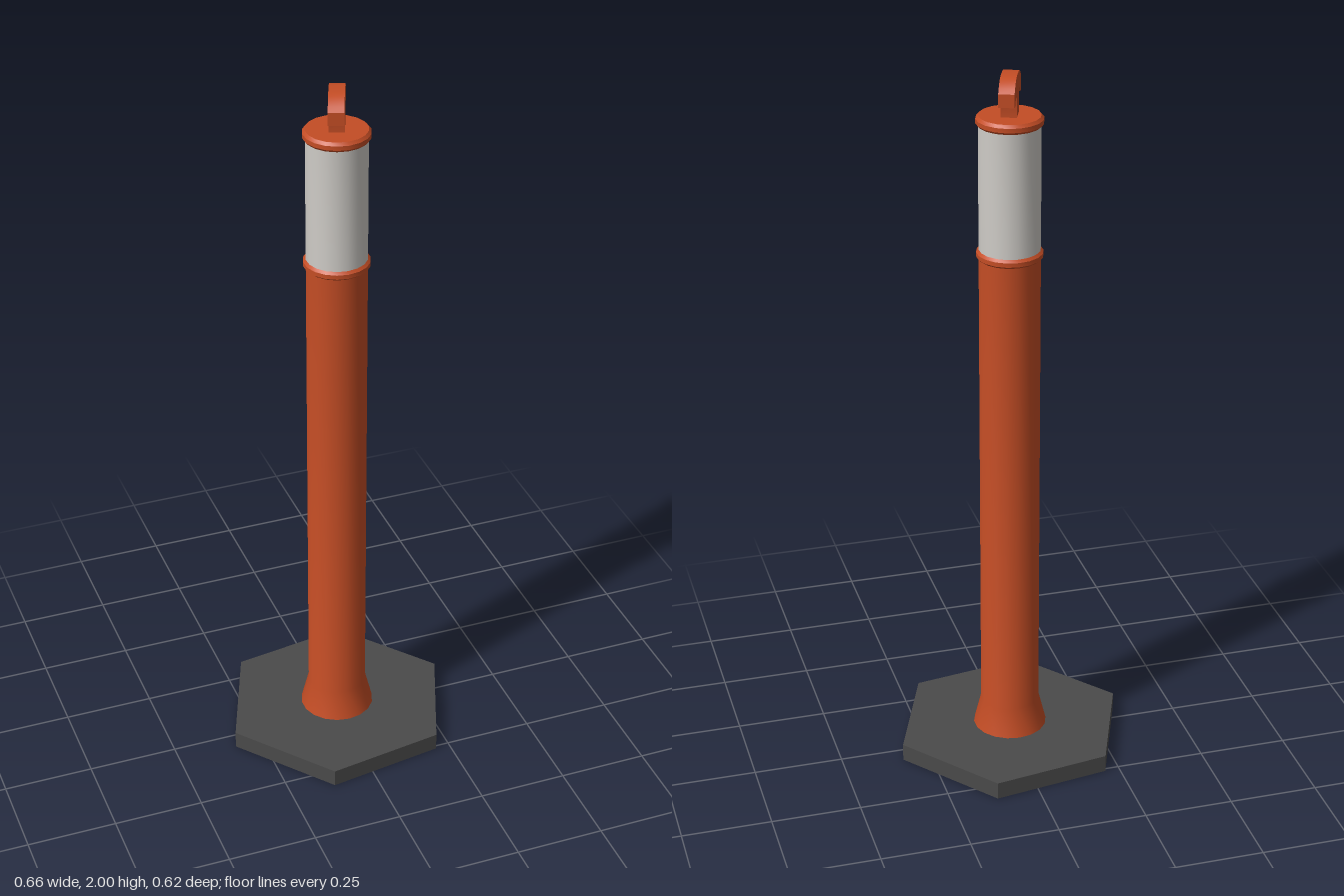
import * as THREE from 'three';
import { toCreasedNormals } from 'three/addons/utils/BufferGeometryUtils.js';

const SIDES = 18;

export function createModel() {
  const model = new THREE.Group();
  model.name = 'bollard';

  const material = (name, color) => {
    const m = new THREE.MeshStandardMaterial({ color });
    m.name = name;
    return m;
  };
  const orange = material('orange plastic', 0xc44d25);
  const white = material('reflective white', 0xcfccc7);
  const rubber = material('dark rubber', 0x4a4a4a);

  const add = (name, geometry, mat) => {
    const mesh = new THREE.Mesh(geometry, mat);
    mesh.name = name;
    model.add(mesh);
    return mesh;
  };
  // Round part turned from [radius, height] points, bottom to top
  const turned = (name, points, mat) => {
    const lathe = new THREE.LatheGeometry(points.map(p => new THREE.Vector2(...p)), SIDES);
    return add(name, toCreasedNormals(lathe, 0.45), mat);
  };

  // Hexagonal weighted foot
  const foot = toCreasedNormals(new THREE.CylinderGeometry(0.334, 0.334, 0.05, 6, 1, false, 0.674), 0.4);
  add('base', foot, rubber).position.y = 0.025;

  // Flared skirt and post
  turned('post', [[0.104, 0.05], [0.083, 0.135], [0.083, 1.5]], orange);

  // Collar below the reflective band
  turned('lowerCollar',
    [[0.083, 1.492], [0.09, 1.498], [0.09, 1.51], [0.083, 1.517], [0.08, 1.517]], orange);

  // Reflective band
  turned('reflectiveSleeve', [[0.083, 1.515], [0.083, 1.868]], white);

  // Rounded cap
  turned('cap',
    [[0.08, 1.862], [0.085, 1.862], [0.09, 1.868], [0.09, 1.88], [0.083, 1.888], [0, 1.888]], orange);

  // Double hook on top, extruded across its width
  const hook = new THREE.Shape();
  hook.moveTo(-0.025, 1.885);
  hook.lineTo(0.025, 1.885);
  hook.lineTo(0.025, 1.94);
  hook.quadraticCurveTo(0.028, 1.952, 0.04, 1.95);
  hook.quadraticCurveTo(0.052, 1.945, 0.06, 1.932);
  hook.lineTo(0.079, 1.932);
  hook.lineTo(0.079, 1.968);
  hook.quadraticCurveTo(0.05, 2, 0.015, 2);
  hook.lineTo(-0.015, 2);
  hook.quadraticCurveTo(-0.05, 2, -0.079, 1.968);
  hook.lineTo(-0.079, 1.932);
  hook.lineTo(-0.06, 1.932);
  hook.quadraticCurveTo(-0.052, 1.945, -0.04, 1.95);
  hook.quadraticCurveTo(-0.028, 1.952, -0.025, 1.94);
  hook.closePath();
  const hookGeometry = new THREE.ExtrudeGeometry(hook, { depth: 0.042, bevelEnabled: false, curveSegments: 5 });
  hookGeometry.translate(0, 0, -0.021);
  add('chainHook', toCreasedNormals(hookGeometry, 0.5), orange).rotation.y = Math.atan2(0.927, 0.375);

  return model;
}
